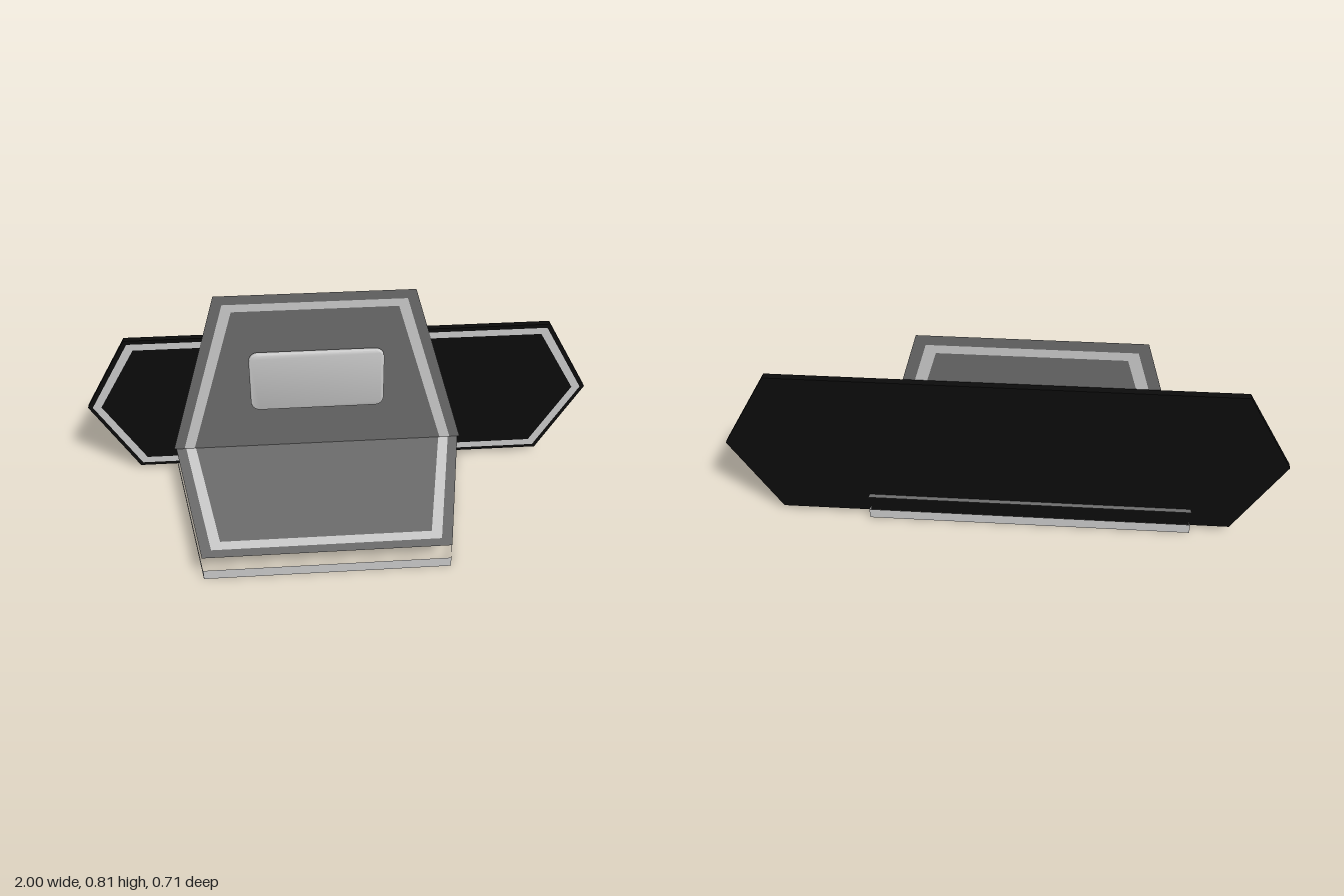
import * as THREE from 'three';
import { toCreasedNormals } from 'three/addons/utils/BufferGeometryUtils.js';

const mat = (name, color, side = THREE.DoubleSide) => {
  const m = new THREE.MeshStandardMaterial({ color, side });
  m.name = name;
  return m;
};

const shapeOf = (pts) => new THREE.Shape(pts.map(([x, y]) => new THREE.Vector2(x, y)));

// Hexagon with tips at +-tip and corners at +-corner, around the height cy
const hexagon = (tip, corner, half, cy) => [
  [-tip, cy], [-corner, cy - half], [corner, cy - half],
  [tip, cy], [corner, cy + half], [-corner, cy + half],
];

export function createModel() {
  const group = new THREE.Group();
  const black = mat('black', 0x0c0c0c);
  const grey = mat('mid grey', 0x6c6c6c);
  const light = mat('light grey', 0xcccccc);
  const CX = -0.091; // middle of the stand and the frame

  const add = (name, geo, material, parent = group) => {
    const m = new THREE.Mesh(geo, material);
    m.name = name;
    parent.add(m);
    return m;
  };

  // Backboard
  const cy = 0.324;
  const board = new THREE.ExtrudeGeometry(shapeOf(hexagon(1, 0.826, 0.301, cy)),
    { depth: 0.025, bevelEnabled: false });
  add('backboard', board, black).position.z = -0.335;

  // Light stripe around the front of the backboard
  const stripe = shapeOf(hexagon(0.981, 0.815, 0.286, cy));
  stripe.holes.push(shapeOf(hexagon(0.947, 0.794, 0.259, cy)));
  add('backboardStripe', new THREE.ShapeGeometry(stripe), light).position.z = -0.308;

  // Trapezoid panel: grey border, light band and grey centre, open along its base
  function panel(name, y0, y1, halfBase, halfTop) {
    const g = new THREE.Group();
    g.name = name;
    const slope = (halfBase - halfTop) / (y1 - y0);
    const nested = [[0, 0], [0.042, 0.038], [0.084, 0.07]].map(([side, top]) => {
      const b = halfBase - side, t = halfTop + slope * top - side;
      return [[CX - b, y0], [CX - t, y1 - top], [CX + t, y1 - top], [CX + b, y0]];
    });
    const ring = (a, b) => shapeOf([...a, ...[...b].reverse()].reverse());
    add(name + 'Border', new THREE.ShapeGeometry(ring(nested[0], nested[1])), grey, g);
    add(name + 'Band', new THREE.ShapeGeometry(ring(nested[1], nested[2])), light, g);
    add(name + 'Centre', new THREE.ShapeGeometry(shapeOf(nested[2])), grey, g);
    group.add(g);
    return g;
  }

  // Upright panel
  panel('uprightPanel', 0.102, 0.807, 0.591, 0.382).position.z = -0.304;

  // Floor panel, with a plain strip reaching through the backboard
  const floor = panel('floorPanel', 0.31, -0.351, 0.583, 0.457);
  floor.rotation.x = -Math.PI / 2;
  floor.position.y = 0.102;
  add('floorBackStrip', new THREE.ShapeGeometry(shapeOf([
    [CX - 0.583, 0.31], [CX + 0.583, 0.31], [CX + 0.591, 0.353], [CX - 0.591, 0.353],
  ])), grey, floor);
  // The floor narrows towards its front, so its insets run the other way
  floor.children.slice(0, 3).forEach((m) => m.geometry.dispose());
  floor.children.slice(0, 3).forEach((m, i) => {
    const trap = (side, top) => {
      const b = 0.583 - side, t = 0.457 + 0.19 * top - side;
      return [[CX - b, 0.31], [CX + b, 0.31], [CX + t, -0.351 + top], [CX - t, -0.351 + top]];
    };
    const levels = [trap(0, 0), trap(0.04, 0.04), trap(0.08, 0.083)];
    const [a, b] = [levels[i], levels[i + 1]];
    const pts = b ? [a[0], a[3], a[2], a[1], b[1], b[2], b[3], b[0]] : a;
    m.geometry = new THREE.ShapeGeometry(shapeOf(pts));
  });

  // Low ribbon frame standing under the floor panel
  const corners = [[CX - 0.591, -0.353], [CX - 0.457, 0.353], [CX + 0.457, 0.353], [CX + 0.591, -0.353]];
  corners.forEach(([x, z], i) => {
    const [x2, z2] = corners[(i + 1) % 4];
    const wall = add('frameWall', new THREE.PlaneGeometry(Math.hypot(x2 - x, z2 - z), 0.041), light);
    wall.position.set((x + x2) / 2, 0.0205, (z + z2) / 2);
    wall.rotation.y = -Math.atan2(z2 - z, x2 - x);
  });

  // Rounded tablet in front of the upright panel
  const w = 0.258, h = 0.124, r = 0.03;
  const s = new THREE.Shape();
  s.absarc(w - r, h - r, r, 0, Math.PI / 2);
  s.absarc(-w + r, h - r, r, Math.PI / 2, Math.PI);
  s.absarc(-w + r, -h + r, r, Math.PI, Math.PI * 1.5);
  s.absarc(w - r, -h + r, r, Math.PI * 1.5, Math.PI * 2);
  const slab = new THREE.ExtrudeGeometry(s, {
    depth: 0.011, bevelThickness: 0.005, bevelSize: 0.006, bevelSegments: 3, curveSegments: 6,
  });
  add('tablet', toCreasedNormals(slab, 0.7), light).position.set(CX, 0.434, -0.286);

  // Small raised block on the back of the tablet
  add('tabletBackBlock', new THREE.BoxGeometry(0.12, 0.11, 0.004), black).position.set(0.1, 0.37, -0.293);

  return group;
}
